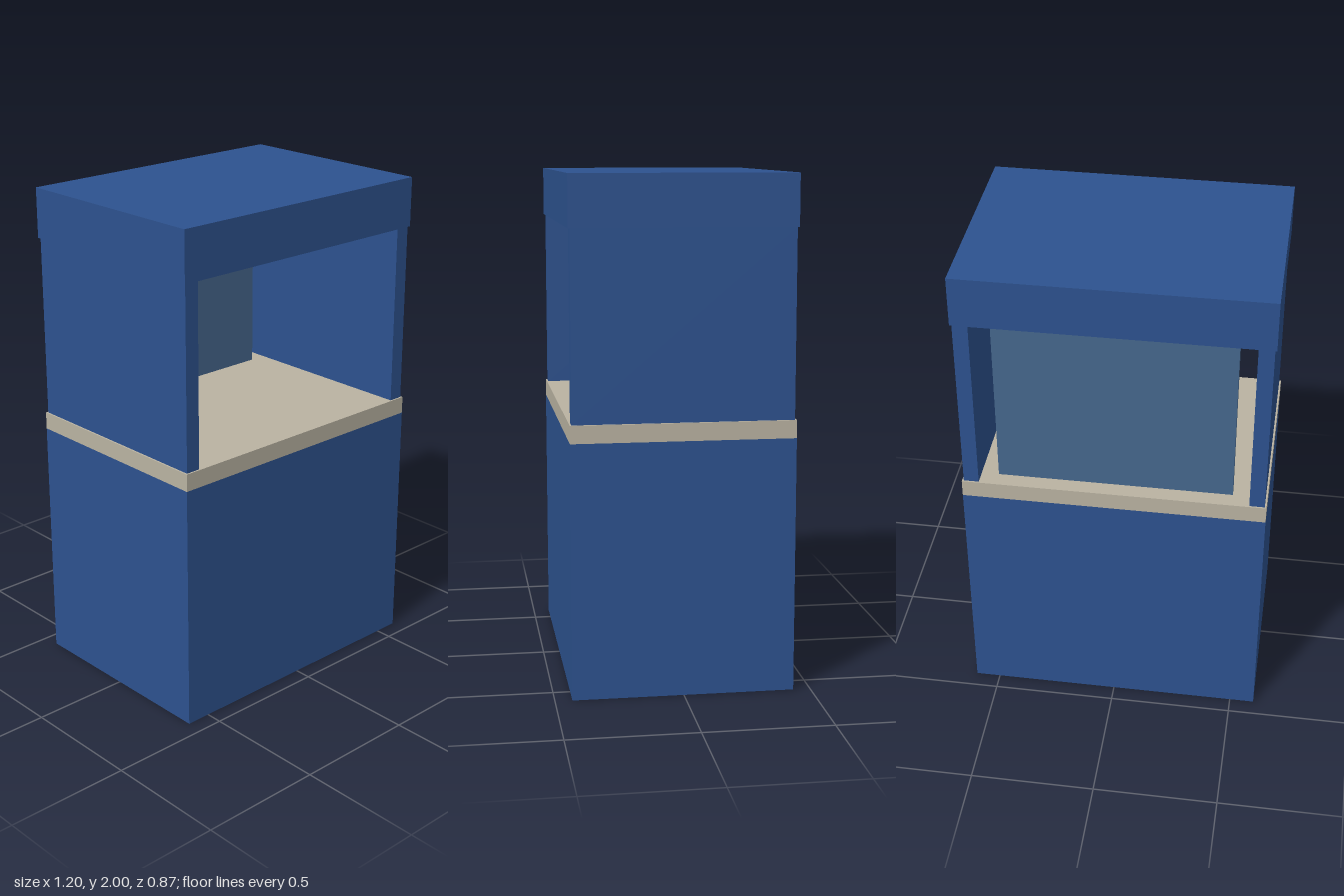
import * as THREE from 'three';

export function createModel() {
  const paint = (name, color) => {
    const m = new THREE.MeshStandardMaterial({ color });
    m.name = name;
    return m;
  };
  const blue = paint('blue', 0x2d528f);
  const beige = paint('beige', 0xbab3a2);
  const slate = paint('slateBlue', 0x46678d);

  const model = new THREE.Group();
  model.name = 'kiosk';

  // Box spanning y0..y1, centred on (x, z)
  const addBox = (name, material, width, depth, y0, y1, x = 0, z = 0) => {
    const mesh = new THREE.Mesh(new THREE.BoxGeometry(width, y1 - y0, depth), material);
    mesh.name = name;
    mesh.position.set(x, (y0 + y1) / 2, z);
    model.add(mesh);
  };

  const W = 1.2, D = 0.866;
  const counterBottom = 1.0, counterTop = 1.07, roofBottom = 1.8;

  addBox('base', blue, W, D, 0, counterBottom);
  addBox('counter', beige, W, D, counterBottom, counterTop);
  addBox('roof', blue, W, D, roofBottom, 2);

  // Side walls, slightly inset from the counter and roof edges
  for (const side of [-1, 1]) {
    addBox(side > 0 ? 'leftWall' : 'rightWall', blue, 0.06, 0.853, counterTop, roofBottom, side * 0.563);
  }

  // Back panel standing free between the walls
  addBox('backPanel', slate, 0.928, 0.034, counterTop, roofBottom, 0, -0.351);

  return model;
}
